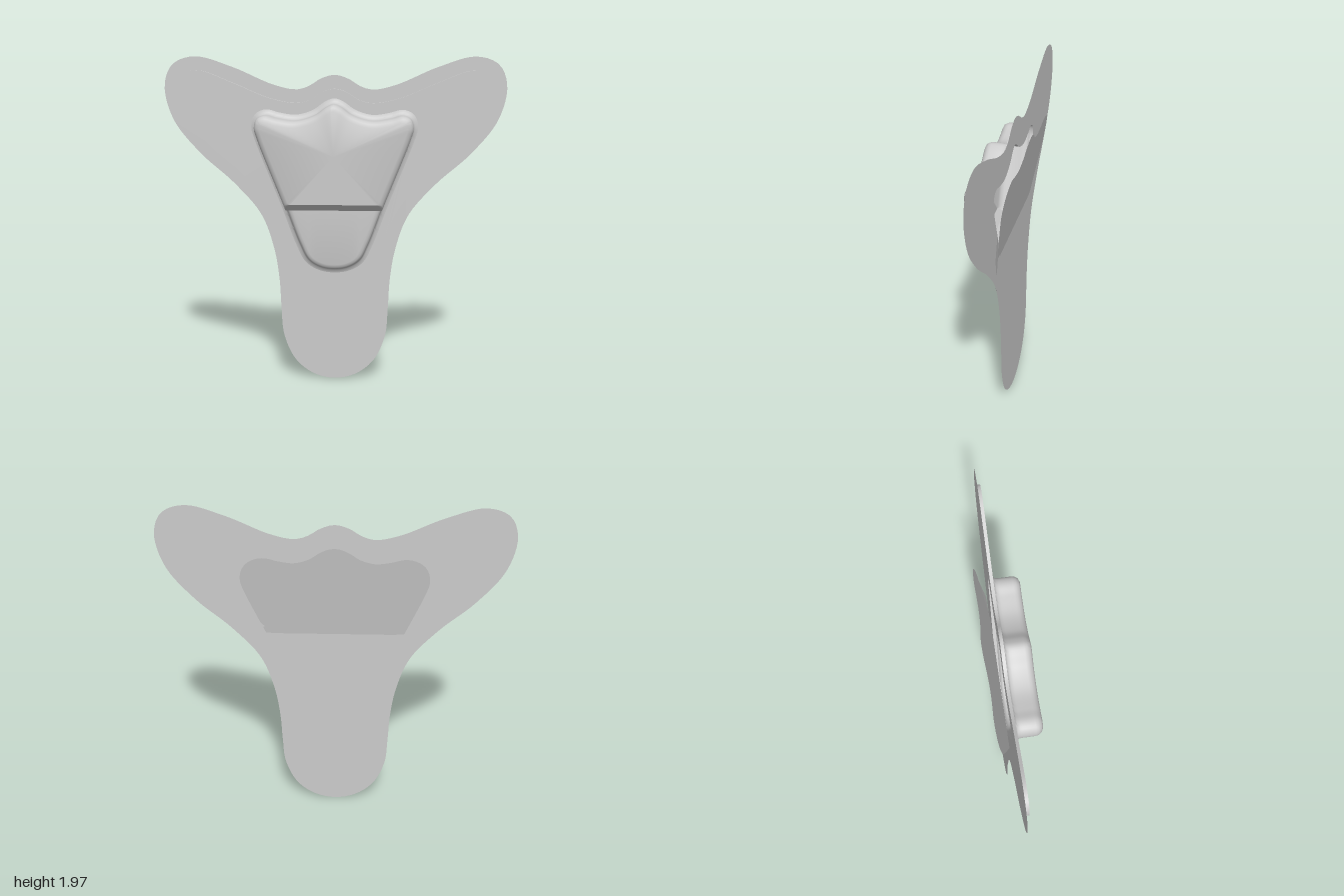
import * as THREE from 'three';
import { toCreasedNormals } from 'three/addons/utils/BufferGeometryUtils.js';

const V2 = (x, y) => new THREE.Vector2(x, y);
const material = new THREE.MeshStandardMaterial({ color: 0xcccccc, side: THREE.DoubleSide });

// Mirror a right-hand half outline (top to bottom) into a smooth closed loop
function smoothLoop(half, count) {
  const mirrored = half.slice(1, -1).reverse().map(([x, y]) => [-x, y]);
  const points = [...half, ...mirrored].map(([x, y]) => new THREE.Vector3(x, y, 0));
  const curve = new THREE.CatmullRomCurve3(points, true, 'centripetal');
  curve.arcLengthDivisions = 1000;
  return curve.getSpacedPoints(count).slice(0, count).map((p) => V2(p.x, p.y));
}

// Push a clockwise loop outwards by d
function offset(loop, d) {
  const n = loop.length;
  return loop.map((p, i) => {
    const t = loop[(i + 1) % n].clone().sub(loop[(i + n - 1) % n]).normalize();
    return V2(p.x - t.y * d, p.y + t.x * d);
  });
}

const clipBelow = (loop, y) => loop.map((p) => V2(p.x, Math.max(p.y, y)));

function shapeOf(loop, hole) {
  const shape = new THREE.Shape(loop);
  if (hole) shape.holes.push(new THREE.Path(hole));
  return shape;
}

// Outlines
const sheetLoop = smoothLoop([
  [0, 1.86], [0.08, 1.838], [0.15, 1.795], [0.225, 1.775], [0.36, 1.803], [0.6, 1.905],
  [0.82, 1.965], [0.95, 1.92], [1, 1.8], [0.955, 1.6], [0.8, 1.4], [0.6, 1.22], [0.44, 1.03],
  [0.365, 0.82], [0.335, 0.63], [0.325, 0.45], [0.31, 0.28], [0.24, 0.12], [0.13, 0.03], [0, 0],
], 200);
const foamLoop = smoothLoop([
  [0, 1.78], [0.07, 1.762], [0.14, 1.717], [0.22, 1.697], [0.38, 1.725], [0.6, 1.815],
  [0.8, 1.885], [0.89, 1.86], [0.918, 1.78], [0.87, 1.63], [0.74, 1.45], [0.52, 1.25],
  [0.37, 1.05], [0.285, 0.82], [0.25, 0.6], [0.24, 0.42], [0.23, 0.28], [0.17, 0.155],
  [0.09, 0.1], [0, 0.085],
], 200);
const wallLoop = smoothLoop([
  [0, 1.695], [0.04, 1.68], [0.11, 1.632], [0.22, 1.6], [0.33, 1.613], [0.4, 1.63],
  [0.445, 1.61], [0.46, 1.56], [0.445, 1.5], [0.29, 1.1], [0.2, 0.86], [0.15, 0.765],
  [0.08, 0.722], [0, 0.71],
], 240);

const hingeY = 1.19;
const flapLoop = clipBelow(offset(wallLoop, 0.07), hingeY);

// Hollow pouch: deep above the step, shallow below it
function pouchGeometry() {
  const stepY = 1.08, shallow = 0.04;
  // [upper offset, lower offset, z, lowest y]
  const rings = [
    [0.03, 0.03, -0.015, 0], [0.012, 0.012, -0.01, 0], [0.003, 0.003, 0, 0], [0, 0, 0.015, 0],
    [0, -0.005, 0.028, 0], [0, -0.015, 0.036, 0], [0, -0.03, shallow, 0],
    [0, -0.03, shallow, stepY], [0, 0, 0.095, stepY], [-0.004, -0.004, 0.11, stepY + 0.015],
    [-0.015, -0.015, 0.126, stepY + 0.031], [-0.035, -0.035, 0.135, stepY + 0.04],
  ];
  const n = wallLoop.length, positions = [], index = [];
  rings.forEach(([upper, lower, z, minY]) => {
    const up = offset(wallLoop, upper), low = offset(wallLoop, lower);
    wallLoop.forEach((p, i) => {
      const q = p.y < stepY ? low[i] : up[i];
      positions.push(q.x, Math.max(q.y, minY), z);
    });
  });
  for (let r = 0; r < rings.length - 1; r++) {
    for (let i = 0; i < n; i++) {
      const a = r * n + i, b = r * n + (i + 1) % n;
      index.push(a, a + n, b, b, a + n, b + n);
    }
  }
  // Front face
  const last = (rings.length - 1) * n;
  positions.push(0, 1.4, 0.135);
  for (let i = 0; i < n; i++) index.push(last + i, last + n, last + (i + 1) % n);
  const geometry = new THREE.BufferGeometry();
  geometry.setAttribute('position', new THREE.Float32BufferAttribute(positions, 3));
  geometry.setIndex(index);
  return toCreasedNormals(geometry, 0.75);
}

// Rounded pull tab, leaning backwards as it leaves the flap
function tabGeometry() {
  const shape = new THREE.Shape();
  shape.moveTo(0.4, 1.24);
  shape.lineTo(0.52, 1.185);
  shape.quadraticCurveTo(0.545, 1.178, 0.556, 1.2);
  shape.lineTo(0.6, 1.3);
  shape.quadraticCurveTo(0.608, 1.325, 0.585, 1.335);
  shape.lineTo(0.45, 1.39);
  const geometry = new THREE.ShapeGeometry(shape, 8);
  const p = geometry.attributes.position;
  for (let i = 0; i < p.count; i++) p.setZ(i, -0.047 - 0.19 * (p.getX(i) - 0.42));
  geometry.computeVertexNormals();
  return geometry;
}

export function createModel() {
  const model = new THREE.Group();
  const add = (name, geometry, parent = model) => {
    const mesh = new THREE.Mesh(geometry, material);
    mesh.name = name;
    parent.add(mesh);
    return mesh;
  };

  // Thin backing sheet with the flap opening
  add('backingSheet', new THREE.ShapeGeometry(shapeOf(sheetLoop, flapLoop))).position.z = -0.037;

  // Padded layer on the sheet
  const foam = new THREE.ExtrudeGeometry(shapeOf(foamLoop, wallLoop), { depth: 0.02, bevelEnabled: false });
  add('foamPad', toCreasedNormals(foam, 0.6)).position.z = -0.035;

  add('pouch', pouchGeometry());

  // Rear flap, hinged along its lower edge and tilted open
  const flap = new THREE.Group();
  flap.name = 'rearFlap';
  flap.position.set(0, hingeY, -0.037);
  flap.rotation.x = -0.16;
  model.add(flap);
  add('flapSheet', new THREE.ShapeGeometry(shapeOf(flapLoop)), flap).position.y = -hingeY;
  const panel = clipBelow(offset(wallLoop, 0.03), hingeY);
  add('flapPanel', new THREE.ShapeGeometry(shapeOf(panel)), flap).position.set(0, -hingeY, -0.003);

  add('pullTab', tabGeometry());
  return model;
}
